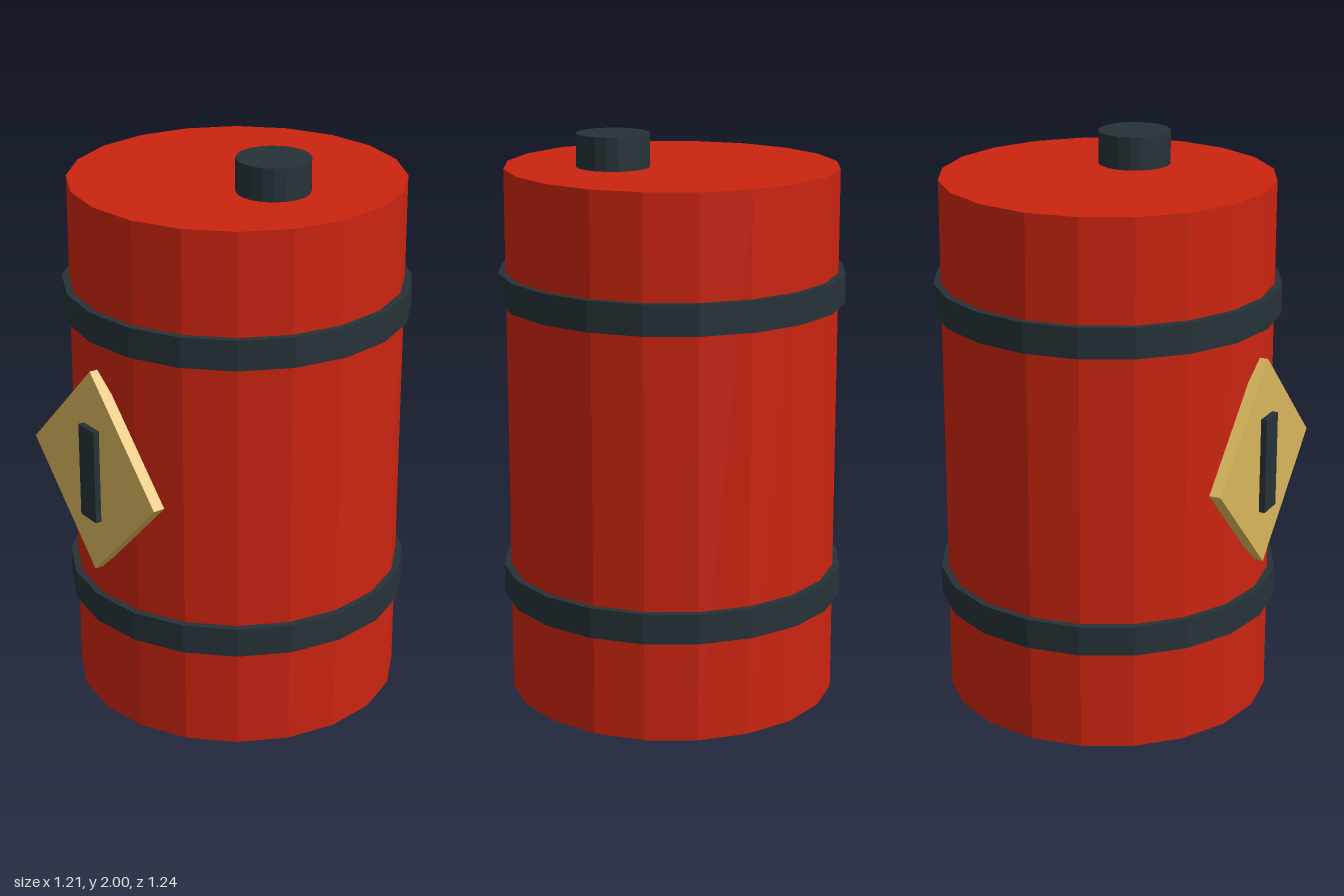
import * as THREE from 'three';

const paint = (name, color, flatShading = true) => {
  const m = new THREE.MeshStandardMaterial({ color, flatShading });
  m.name = name;
  return m;
};

export function createModel() {
  const red = paint('red paint', 0xcb2410);
  const dark = paint('dark steel', 0x263238);
  const yellow = paint('yellow sign', 0xd9b65c);

  const SIDES = 20;
  const AXIS_Z = -0.015; // the drum sits slightly back of centre
  const model = new THREE.Group();
  model.name = 'barrel';

  const add = (name, geometry, material, x, y, z) => {
    const mesh = new THREE.Mesh(geometry, material);
    mesh.name = name;
    mesh.position.set(x, y, z);
    model.add(mesh);
    return mesh;
  };
  const drum = (radius, height) => new THREE.CylinderGeometry(radius, radius, height, SIDES);

  // Body
  add('body', drum(0.58, 1.885), red, 0, 0.9425, AXIS_Z);

  // Two hoops around the body
  [['lowerHoop', 0.413], ['upperHoop', 1.473]].forEach(([name, y]) =>
    add(name, drum(0.605, 0.106), dark, 0, y, AXIS_Z));

  // Filler cap, off centre on the lid
  add('fillerCap', drum(0.127, 0.125), dark, 0.204, 1.9375, AXIS_Z);

  // Diamond warning plate with a raised bar
  const side = 0.373 * Math.SQRT2;
  add('warningPlate', new THREE.BoxGeometry(side, side, 0.041), yellow, 0, 0.942, 0.5745)
    .rotation.z = Math.PI / 4;
  add('warningBar', new THREE.BoxGeometry(0.094, 0.34, 0.04), dark, 0, 0.942, 0.597);

  return model;
}
